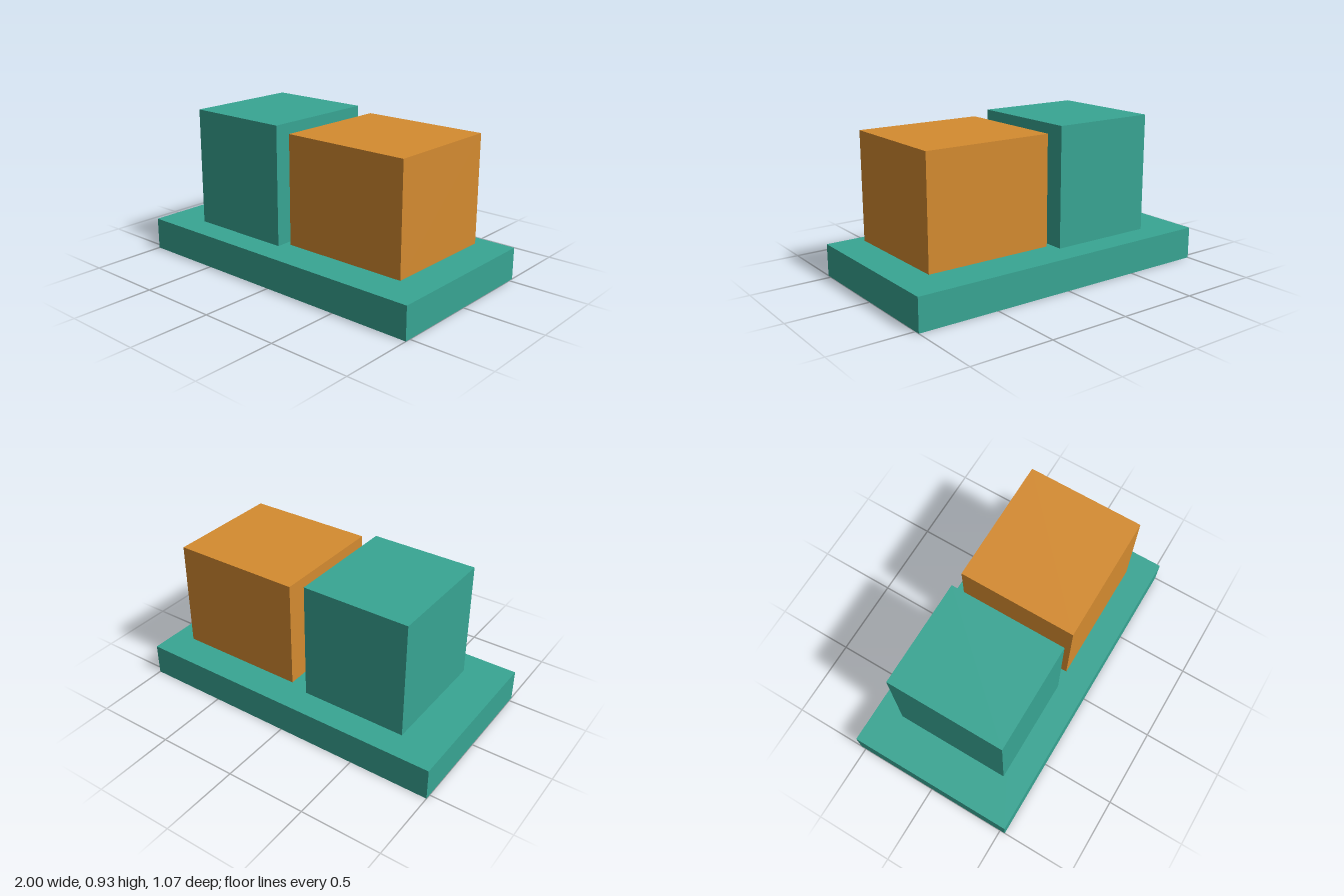
import * as THREE from 'three';

const teal = new THREE.MeshStandardMaterial({ color: 0x38a593 });
const orange = new THREE.MeshStandardMaterial({ color: 0xd48b30 });

// Box given by its x and y extents and its depth, centred on z = 0
function block(name, material, [x0, x1], [y0, y1], depth) {
  const mesh = new THREE.Mesh(new THREE.BoxGeometry(x1 - x0, y1 - y0, depth), material);
  mesh.position.set((x0 + x1) / 2, (y0 + y1) / 2, 0);
  mesh.name = name;
  return mesh;
}

export function createModel() {
  const model = new THREE.Group();
  model.name = 'blocksOnBase';
  const blockDepth = 0.734;

  model.add(
    // Flat base plate
    block('basePlate', teal, [-1, 1], [0, 0.2], 1.067),
    // Tall block standing on the plate
    block('fixedBlock', teal, [-0.733, -0.067], [0.2, 0.933], blockDepth),
    // Wider block hovering just above the plate
    block('floatingBlock', orange, [0.033, 0.833], [0.233, 0.9], blockDepth),
  );
  return model;
}
